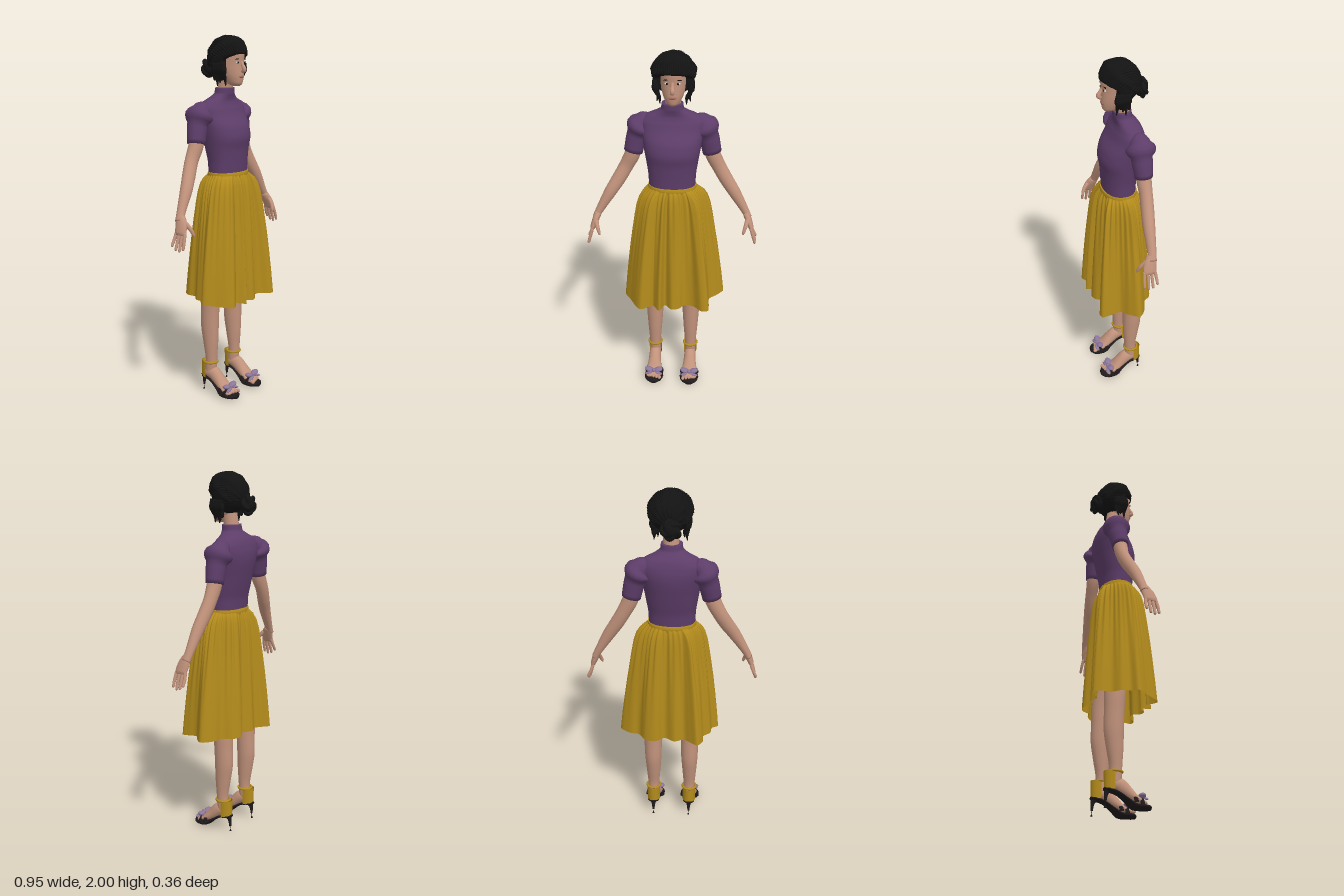
import * as THREE from 'three';

const V = (x, y, z) => new THREE.Vector3(x, y, z);
const makeMat = (name, color, double) => {
  const m = new THREE.MeshStandardMaterial({ color });
  m.name = name;
  if (double) m.side = THREE.DoubleSide;
  return m;
};

// Skin closed rings of points into one smooth surface
function loft(rings, caps = true) {
  const n = rings[0].length, pos = [], idx = [];
  rings.forEach(r => r.forEach(p => pos.push(p.x, p.y, p.z)));
  for (let i = 0; i < rings.length - 1; i++) for (let j = 0; j < n; j++) {
    const a = i * n + j, b = i * n + (j + 1) % n;
    idx.push(a, b, a + n, b, b + n, a + n);
  }
  if (caps) [0, rings.length - 1].forEach((k, end) => {
    const c = rings[k].reduce((s, p) => s.add(p), V(0, 0, 0)).divideScalar(n);
    const ci = pos.length / 3;
    pos.push(c.x, c.y, c.z);
    for (let j = 0; j < n; j++) {
      const a = k * n + j, b = k * n + (j + 1) % n;
      if (end) idx.push(ci, a, b); else idx.push(ci, b, a);
    }
  });
  const g = new THREE.BufferGeometry();
  g.setAttribute('position', new THREE.Float32BufferAttribute(pos, 3));
  g.setIndex(idx);
  g.computeVertexNormals();
  return g;
}

// Tapered tube; rows are [x, y, z, radius along ref, other radius]
function limb(rows, { ref = V(0, 0, 1), sides = 16, steps = 5 } = {}) {
  const path = new THREE.CatmullRomCurve3(rows.map(r => V(r[0], r[1], r[2])));
  const rad = new THREE.CatmullRomCurve3(rows.map(r => V(r[3], r[4] ?? r[3], 0)));
  const total = (rows.length - 1) * steps, rings = [];
  for (let i = 0; i <= total; i++) {
    const t = i / total, c = path.getPoint(t), d = path.getTangent(t), r = rad.getPoint(t);
    const u = ref.clone().addScaledVector(d, -ref.dot(d)).normalize();
    const v = d.clone().cross(u);
    rings.push(Array.from({ length: sides }, (_, j) => {
      const a = j / sides * Math.PI * 2;
      return c.clone().addScaledVector(u, Math.cos(a) * r.x).addScaledVector(v, Math.sin(a) * r.y);
    }));
  }
  return loft(rings);
}

// Upright body form; rows are [y, half width, front z, back z]
function body(rows, cx, power = 1, sides = 40, steps = 5) {
  const ys = new THREE.CatmullRomCurve3(rows.map(r => V(0, r[0], 0)));
  const dims = new THREE.CatmullRomCurve3(rows.map(r => V(r[1], r[2], r[3])));
  const bend = q => Math.sign(q) * Math.abs(q) ** power;
  const total = (rows.length - 1) * steps, rings = [];
  for (let i = 0; i <= total; i++) {
    const y = ys.getPoint(i / total).y, d = dims.getPoint(i / total);
    rings.push(Array.from({ length: sides }, (_, j) => {
      const a = j / sides * Math.PI * 2;
      return V(cx + d.x * bend(Math.cos(a)), y, (d.y + d.z) / 2 - (d.y - d.z) / 2 * bend(Math.sin(a)));
    }));
  }
  return loft(rings);
}

// Hem outline as x, z pairs: left side, back, right side, front
const HEM = [.30, -.03, .24, -.08, .19, -.09, .15, -.14, .09, -.155, .04, -.12, -.02, -.15, -.07, -.13,
  -.11, -.155, -.15, -.18, -.18, -.14, -.18, -.09, -.22, -.05, -.23, 0, -.265, .03, -.23, .09, -.17, .17,
  -.12, .15, -.1, .135, -.06, .178, -.03, .13, .01, .165, .05, .155, .08, .125, .13, .13, .18, .17,
  .215, .165, .22, .12, .22, .06, .265, .02];

// Skirt cloth blends from the folded hem to the gathered waist
function skirtGeometry() {
  const pts = [];
  for (let i = 0; i < HEM.length; i += 2) pts.push(V(HEM[i], 0, HEM[i + 1]));
  const hem = new THREE.CatmullRomCurve3(pts, true).getPoints(240).slice(0, 240);
  const levels = [[0, 1], [.16, .93], [.33, .84], [.48, .75], [.62, .65], [.75, .55], [.84, .47],
    [.91, .37], [.955, .25], [.985, .11], [1, .02]];
  return loft(levels.map(([h, g]) => hem.map(p => {
    const a = Math.atan2(-p.z / .175, p.x / .27);
    const w = 1 + .05 * Math.sin(a * 34) * h * h * Math.min(1, g * 4);
    const y = .578 - .02 * Math.max(0, p.z / .17);
    return V((.005 + .125 * Math.cos(a) * (1 - g) + (p.x - .005) * g) * w,
      y + (1.265 - y) * h, (-.088 * Math.sin(a) * (1 - g) + p.z * g) * w);
  })), false);
}

export function createModel() {
  const model = new THREE.Group();
  const skin = makeMat('skin', 0xc2937c), top = makeMat('purple knit', 0x5d3d69);
  const cloth = makeMat('mustard cloth', 0xb48c1c, true), hairMat = makeMat('black hair', 0x141414);
  const leather = makeMat('dark leather', 0x1f1a1b), bowMat = makeMat('mauve ribbon', 0x8c779c);
  const lipMat = makeMat('lips', 0xa3655a), white = makeMat('eye white', 0xd8d2cc);
  const add = (name, geo, mat, parent = model) => {
    const m = new THREE.Mesh(geo, mat);
    m.name = name;
    parent.add(m);
    return m;
  };
  const blob = (name, mat, p, s, parent) => {
    const m = add(name, new THREE.SphereGeometry(1, 16, 12), mat, parent);
    m.position.set(...p);
    m.scale.set(...s);
    return m;
  };

  // Clothes
  add('top', body([[1.25, .125, .085, -.085], [1.33, .128, .088, -.09], [1.4, .138, .093, -.105],
    [1.46, .148, .102, -.117], [1.52, .157, .088, -.128], [1.58, .168, .05, -.13], [1.62, .168, .032, -.122],
    [1.65, .14, .02, -.11], [1.673, .09, .02, -.092], [1.695, .06, .025, -.073], [1.725, .056, .026, -.068]],
  .003, .9), top);
  add('skirt', skirtGeometry(), cloth);
  add('waistband', body([[1.245, .132, .093, -.093], [1.26, .132, .095, -.095], [1.275, .13, .092, -.092]], .004, .95), cloth);

  // Head and face
  const head = new THREE.Group();
  head.name = 'head';
  model.add(head);
  const cx = .01;
  add('neck', limb([[.004, 1.68, -.025, .042, .046], [.006, 1.73, -.02, .04, .042], [cx, 1.8, -.005, .045, .042]]), skin, head);
  add('face', body([[1.735, .016, .073, .03], [1.748, .036, .084, -.01], [1.785, .054, .09, -.05],
    [1.82, .064, .089, -.075], [1.86, .069, .089, -.09], [1.9, .07, .092, -.09], [1.94, .06, .075, -.08],
    [1.97, .03, .04, -.04]], cx), skin, head);
  add('nose', limb([[cx, 1.87, .081, .007], [cx, 1.845, .092, .009], [cx, 1.82, .104, .012],
    [cx, 1.808, .091, .009]], { ref: V(1, 0, 0) }), skin, head);
  blob('lips', lipMat, [cx, 1.783, .086], [.021, .007, .008], head);
  for (const s of [-1, 1]) {
    blob('eye', white, [cx + s * .028, 1.857, .079], [.013, .006, .006], head);
    blob('iris', hairMat, [cx + s * .028, 1.857, .083], [.0055, .0055, .004], head);
    blob('eyebrow', hairMat, [cx + s * .03, 1.876, .08], [.018, .003, .005], head).rotation.z = -s * .1;
  }

  // Hair: a cap cleared away from the face, strands swept to a bun
  const hair = new THREE.Group();
  hair.name = 'hair';
  model.add(hair);
  const hc = V(cx, 1.885, -.006), hr = V(.108, .109, .104);
  const cap = new THREE.SphereGeometry(1, 48, 36).scale(hr.x, hr.y, hr.z).translate(hc.x, hc.y, hc.z);
  const cp = cap.attributes.position;
  for (let i = 0; i < cp.count; i++) {
    const limit = .03 + .1 * THREE.MathUtils.smoothstep(cp.getY(i), 1.87, 1.925);
    cp.setZ(i, Math.min(cp.getZ(i), limit));
  }
  cap.computeVertexNormals();
  add('hairCap', cap, hairMat, hair);
  const bunDir = V(0, -.4, -1).normalize();
  for (let i = 0; i < 39; i++) {
    const k = i / 19 - 1, a = k * 1.95, el = .3 - .75 * k * k;
    const start = V(Math.sin(a), el, Math.cos(a)).normalize();
    const rows = [0, .2, .4, .6, .8, 1].map((t, q) => {
      const d = start.clone().lerp(bunDir, t).add(V(0, .75 * Math.sin(Math.PI * t) * (1 - Math.abs(k) * .8), 0));
      d.normalize().multiplyScalar(1 + .015 * Math.sin(i * 5 + q * 2)).multiply(hr).add(hc);
      return [d.x, d.y, d.z, q === 0 ? .004 : .0075];
    });
    add('strand', limb(rows, { sides: 6, steps: 3, ref: V(1, .13, .07) }), hairMat, hair);
  }
  blob('bun', hairMat, [0, 1.83, -.122], [.047, .047, .036], hair);
  const twist = add('bunTwist', new THREE.TorusKnotGeometry(.03, .014, 80, 8, 2, 5), hairMat, hair);
  twist.position.set(0, 1.83, -.13);
  twist.scale.z = .8;
  for (const s of [-1, 1]) for (let i = 0; i < 5; i++) {
    const z = .032 - i * .014, low = 1.735 + .016 * ((i * 2) % 3);
    add('looseLock', limb([[cx + s * .094, 1.86, z, .012], [cx + s * .087, 1.8, z, .012],
      [cx + s * (.07 + .004 * i), 1.77, z - .003, .009], [cx + s * (.068 + .006 * i), low, z, .002]], { sides: 8 }), hairMat, hair);
  }

  // Arms: the two differ slightly in how far forward they hang
  for (const s of [-1, 1]) {
    const arm = new THREE.Group();
    arm.name = s > 0 ? 'leftArm' : 'rightArm';
    model.add(arm);
    const [z0, z1, z2, z3, z4] = s > 0 ? [-.062, -.066, -.06, -.045, -.022] : [-.058, -.048, -.033, .005, .033];
    const ox = s > 0 ? .004 : 0;
    const P = (x, y, z, ...r) => [s * x + ox, y, z, ...r];
    add('sleeve', limb([P(.115, 1.62, z0, .035), P(.155, 1.6, z0, .056), P(.185, 1.54, z0, .056),
      P(.21, 1.435, z1, .046, .051)]), top, arm);
    add('bareArm', limb([P(.195, 1.49, z1, .04), P(.215, 1.42, z1, .039, .042), P(.25, 1.35, z1, .034, .039),
      P(.29, 1.28, z2, .034, .038), P(.335, 1.21, (z2 + z3) / 2, .032, .034), P(.405, 1.09, z3, .024, .021),
      P(.42, 1.06, z3 + .006, .027, .019)]), skin, arm);
    add('palm', limb([P(.407, 1.085, z3 + .003, .024, .02), P(.423, 1.045, z4 - .008, .035, .018),
      P(.438, 1.005, z4, .036, .014), P(.442, .993, z4, .028, .008)]), skin, arm);
    for (let i = 0; i < 4; i++) {
      const q = 1.5 - i, z = z4 + q * .018, len = [.075, .085, .08, .062][i];
      add('finger', limb([P(.435, 1.01, z, .009), P(.45, 1 - len * .5, z + q * .004, .0085),
        P(.46 + .002 * i, 1 - len, z + q * .005, .007), P(.461 + .002 * i, .995 - len, z + q * .005, .003)],
      { sides: 10 }), skin, arm);
    }
    add('thumb', limb([P(.415, 1.055, z4 + .012, .013), P(.405, 1.025, z4 + .038, .011),
      P(.395, .995, z4 + .05, .008), P(.393, .985, z4 + .053, .004)], { sides: 10 }), skin, arm);
  }

  // Legs and heeled sandals
  for (const s of [-1, 1]) {
    const leg = new THREE.Group();
    leg.name = s > 0 ? 'leftLeg' : 'rightLeg';
    leg.position.x = s > 0 ? .111 : -.102;
    model.add(leg);
    add('bareLeg', limb([[-s * .045, 1.1, -.01, .07, .06], [-s * .02, .85, -.02, .07, .062], [0, .6, -.042, .058, .054],
      [0, .5, -.046, .054, .051], [0, .4, -.048, .053, .048], [0, .3, -.042, .044, .041],
      [0, .2, -.038, .033, .033], [0, .12, -.043, .034, .031]]), skin, leg);
    const across = { ref: V(1, 0, 0) };
    add('foot', limb([[0, .115, -.085, .018, .02], [0, .12, -.06, .031, .033], [0, .115, -.02, .034, .04],
      [0, .085, .02, .037, .034], [0, .054, .06, .044, .024], [0, .036, .1, .044, .013],
      [0, .031, .118, .036, .008]], across), skin, leg);
    for (let i = 0; i < 5; i++)
      blob('toe', skin, [s * (i - 2) * .018, .034, .125 - .006 * i], [.0095, .01, .014], leg);
    add('sole', limb([[0, .094, -.1, .015, .008], [0, .09, -.075, .034, .01], [0, .078, -.03, .032, .009],
      [0, .046, .02, .04, .009], [0, .018, .06, .052, .014], [0, .015, .1, .054, .014],
      [0, .015, .13, .042, .014], [0, .015, .147, .018, .012]], across), leather, leg);
    add('heel', limb([[0, .096, -.077, .022], [0, .07, -.088, .011], [0, .03, -.092, .006],
      [0, 0, -.094, .006]]), leather, leg);
    const counter = add('heelCounter',
      new THREE.CylinderGeometry(.038, .037, .095, 20, 1, true, Math.PI / 2, Math.PI), cloth, leg);
    counter.position.set(0, .138, -.052);
    counter.scale.z = 1.25;
    const strap = add('ankleStrap', new THREE.TorusGeometry(.038, .007, 8, 28), cloth, leg);
    strap.rotation.x = Math.PI / 2;
    strap.position.set(0, .183, -.043);
    for (const [z, y] of [[.055, .028], [.088, .018]]) {
      const band = add('toeStrap', new THREE.TorusGeometry(.046, .008, 8, 20, Math.PI), leather, leg);
      band.position.set(0, y, z);
      band.scale.set(1.05, .85, 1.5);
    }
    // Ribbon bow on the toes
    for (const q of [-1, 1]) {
      blob('bowLoop', bowMat, [q * .027, .067, .092], [.027, .013, .02], leg).rotation.z = q * .25;
      blob('bowTail', bowMat, [q * .03, .055, .112], [.024, .006, .011], leg).rotation.z = -q * .35;
    }
    blob('bowKnot', bowMat, [0, .066, .1], [.011, .012, .014], leg);
  }
  return model;
}
